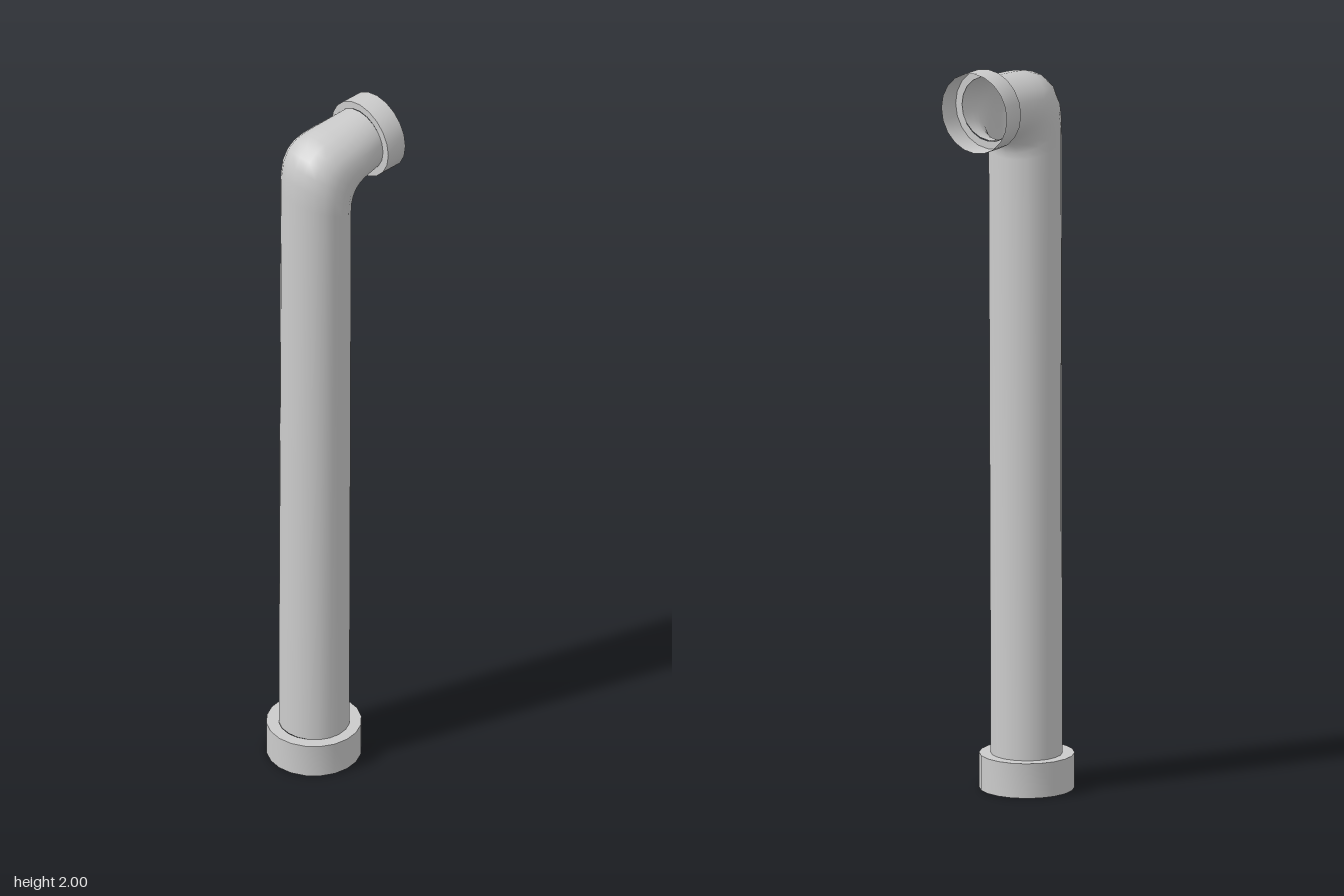
import * as THREE from 'three';
import { toCreasedNormals } from 'three/addons/utils/BufferGeometryUtils.js';

const SIDES = 20;
const material = new THREE.MeshStandardMaterial({ color: 0xcccccc, side: THREE.DoubleSide });

// Cross-sections: outer side (x, y), inner side (x, y), half width in z
const SECTIONS = [
  [-0.146, 0.095, 0.042, 0.095, 0.096],
  [-0.129, 1.80, 0.037, 1.74, 0.105],
  [-0.128, 1.86, 0.039, 1.757, 0.105],
  [-0.121, 1.905, 0.045, 1.773, 0.105],
  [-0.104, 1.937, 0.055, 1.786, 0.104],
  [-0.078, 1.957, 0.066, 1.795, 0.103],
  [-0.045, 1.967, 0.079, 1.801, 0.101],
  [0.0, 1.972, 0.093, 1.804, 0.098],
  [0.115, 1.98, 0.115, 1.806, 0.09],
];

// Skins the elliptical rings into one smooth bent tube
function pipeGeometry() {
  const positions = [], index = [];
  for (const [ox, oy, ix, iy, halfZ] of SECTIONS) {
    for (let j = 0; j < SIDES; j++) {
      const a = (j / SIDES) * Math.PI * 2;
      const t = (1 - Math.cos(a)) / 2;
      positions.push(ox + (ix - ox) * t, oy + (iy - oy) * t, Math.sin(a) * halfZ);
    }
  }
  for (let i = 0; i < SECTIONS.length - 1; i++) {
    for (let j = 0; j < SIDES; j++) {
      const k = (j + 1) % SIDES;
      const a = i * SIDES + j, b = i * SIDES + k;
      index.push(a, b, a + SIDES, b, b + SIDES, a + SIDES);
    }
  }
  const geometry = new THREE.BufferGeometry();
  geometry.setAttribute('position', new THREE.Float32BufferAttribute(positions, 3));
  geometry.setIndex(index);
  geometry.computeVertexNormals();
  return geometry;
}

// Open socket: a flat shoulder around the pipe and a thin wall, mouth at y = 0
function collar(name, pipeRadius, radius, depth) {
  const profile = [[radius, 0], [radius, depth], [pipeRadius, depth]]
    .map(([x, y]) => new THREE.Vector2(x, y));
  const geometry = toCreasedNormals(new THREE.LatheGeometry(profile, SIDES), Math.PI / 5);
  const mesh = new THREE.Mesh(geometry, material);
  mesh.name = name;
  return mesh;
}

export function createModel() {
  const model = new THREE.Group();
  model.name = 'bentPipe';

  const pipe = new THREE.Mesh(pipeGeometry(), material);
  pipe.name = 'pipe';

  const base = collar('baseCollar', 0.094, 0.127, 0.095);
  base.position.set(-0.053, 0, 0);
  base.rotation.y = Math.PI / 2;

  // Mouth faces +x
  const outlet = collar('outletCollar', 0.088, 0.109, 0.063);
  outlet.position.set(0.179, 1.892, 0);
  outlet.rotation.z = Math.PI / 2;

  model.add(pipe, base, outlet);
  return model;
}
